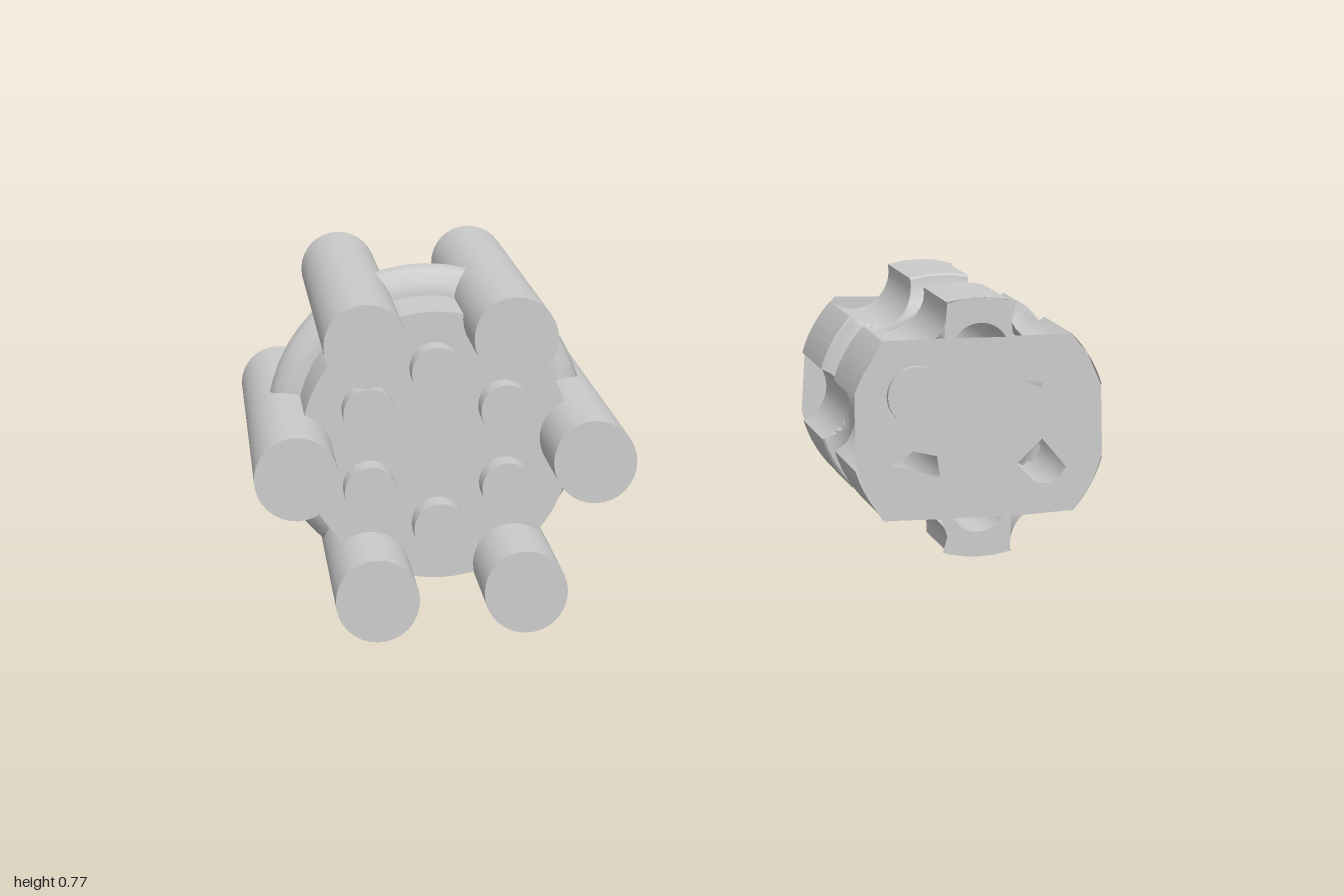
import * as THREE from 'three';
import { toCreasedNormals } from 'three/addons/utils/BufferGeometryUtils.js';

const grey = new THREE.MeshStandardMaterial({ color: 0xcccccc });
const greyBoth = new THREE.MeshStandardMaterial({ color: 0xcccccc, side: THREE.DoubleSide });

const HALF = 0.315, RADIUS = 0.31;            // drum half length and radius
const ROD_RING = 0.33, ROD_R = 0.093, TILT = 0.028;
const PIN_RING = 0.18, PIN_R = 0.06, HOLE_R = 0.07;
const RING_R = 0.305, RING_TUBE = 0.071;      // collar on one drum, groove in the other
const STEP = Math.PI / 3;

function add(parent, name, geometry, material = grey) {
  const mesh = new THREE.Mesh(geometry, material);
  mesh.name = name;
  parent.add(mesh);
  return mesh;
}

// Cylinder lying along z
function rod(radius, length, sides = 32) {
  return new THREE.CylinderGeometry(radius, radius, length, sides).rotateX(Math.PI / 2);
}

// Radius of the grooved surface at a given z
function grooveRadius(z) {
  return Math.abs(z) <= RING_TUBE
    ? RING_R - Math.sqrt(RING_TUBE ** 2 - z * z)
    : RADIUS;
}

// Skin of a closed 2D loop swept through the z rows; keep() may open cells
function sweep(loop, rows, pointAt, keep) {
  const pos = [], index = [], n = loop.length;
  for (const z of rows) for (const p of loop) pos.push(...pointAt(p, z));
  for (let j = 0; j < rows.length - 1; j++) {
    for (let i = 0; i < n; i++) {
      const k = (i + 1) % n;
      const mid = loop[i].clone().add(loop[k]).multiplyScalar(0.5);
      if (!keep(mid, (rows[j] + rows[j + 1]) / 2)) continue;
      const a = j * n + i, b = j * n + k, c = a + n, d = b + n;
      index.push(a, b, d, a, d, c);
    }
  }
  const g = new THREE.BufferGeometry();
  g.setAttribute('position', new THREE.Float32BufferAttribute(pos, 3));
  g.setIndex(index);
  return toCreasedNormals(g, 0.6);
}

// Drum with collar, six long rods and six pins
function rodCore() {
  const core = new THREE.Group();
  core.name = 'rodCore';
  add(core, 'coreDrum', rod(RADIUS, HALF * 2, 48));
  add(core, 'collar', new THREE.TorusGeometry(RING_R, RING_TUBE, 12, 48));
  for (let i = 0; i < 6; i++) {
    const a = TILT + i * STEP, b = (i + 0.5) * STEP;
    add(core, 'longRod', rod(ROD_R, 1.2))
      .position.set(Math.cos(a) * ROD_RING, Math.sin(a) * ROD_RING, 0);
    add(core, 'pin', rod(PIN_R, 0.79, 24))
      .position.set(Math.cos(b) * PIN_RING, Math.sin(b) * PIN_RING, 0);
  }
  return core;
}

// Outline of the drum with six scooped flutes
function flutedLoop() {
  const loop = [];
  const cosPhi = (ROD_RING ** 2 + RADIUS ** 2 - ROD_R ** 2) / (2 * ROD_RING * RADIUS);
  const phi = Math.acos(cosPhi);
  const aMax = Math.acos((ROD_RING - RADIUS * cosPhi) / ROD_R);
  const origin = new THREE.Vector2();
  for (let s = 0; s < 6; s++) {
    const turn = TILT + s * STEP;
    for (let i = 0; i < 12; i++) {
      const a = -aMax + (2 * aMax * i) / 12;
      loop.push(new THREE.Vector2(ROD_RING - ROD_R * Math.cos(a), ROD_R * Math.sin(a))
        .rotateAround(origin, turn));
    }
    for (let i = 0; i < 18; i++) {
      const t = turn + phi + ((STEP - 2 * phi) * i) / 18;
      loop.push(new THREE.Vector2(Math.cos(t) * RADIUS, Math.sin(t) * RADIUS));
    }
  }
  return loop;
}

// End plate that partly covers the flutes and holes
function endPlate() {
  const path = pts => pts.map(([x, y]) => new THREE.Vector2(x, y));
  const shape = new THREE.Shape(path([
    [-0.087, 0.215], [-0.082, 0.297], [-0.04, 0.308], [0, 0.31], [0.04, 0.308], [0.083, 0.297],
    [0.073, 0.25], [0.078, 0.217], [0.218, 0.22], [0.258, 0.172], [0.293, 0.095], [0.3, -0.07],
    [0.278, -0.137], [0.233, -0.205], [0.083, -0.215], [0.08, -0.298], [0.04, -0.308], [0, -0.31],
    [-0.04, -0.308], [-0.082, -0.298], [-0.072, -0.26], [-0.087, -0.217], [-0.227, -0.217],
    [-0.267, -0.157], [-0.295, -0.08], [-0.3, 0.09], [-0.277, 0.14], [-0.228, 0.212]]));
  for (const side of [1, -1]) {
    const arc = [];
    for (let i = 0; i <= 10; i++) {
      const a = Math.PI * (1 / 6 + (2 / 3) * (i / 10));
      arc.push([Math.cos(a) * HOLE_R, side * (PIN_RING + Math.sin(a) * HOLE_R)]);
    }
    shape.holes.push(new THREE.Path(path(arc)));
  }
  const openings = [
    [[-0.207, -0.085], [-0.157, -0.052], [-0.1, -0.065], [-0.092, -0.115]],
    [[0.093, -0.09], [0.153, -0.03], [0.213, -0.1], [0.183, -0.14], [0.14, -0.135]],
    [[0.093, 0.115], [0.15, 0.103], [0.15, 0.094], [0.1, 0.103]],
  ];
  for (const o of openings) shape.holes.push(new THREE.Path(path(o)));
  return new THREE.ShapeGeometry(shape);
}

// Matching drum with flutes, waist groove and lengthwise holes
function flutedSocket() {
  const socket = new THREE.Group();
  socket.name = 'flutedSocket';
  const half = [0.012, 0.024, 0.034, 0.044, 0.054, 0.063, 0.069, RING_TUBE, 0.076, HALF];
  const rows = [...half.map(z => -z).reverse(), 0, ...half];

  const centres = [];
  for (let i = 0; i < 6; i++) {
    const b = (i + 0.5) * STEP;
    centres.push(new THREE.Vector2(Math.cos(b) * PIN_RING, Math.sin(b) * PIN_RING));
  }
  const clamp = (p, z) => {
    const k = Math.min(1, grooveRadius(z) / p.length());
    return [p.x * k, p.y * k, z];
  };

  // Outer skin, opened where the holes break into the groove
  add(socket, 'flutedWall', sweep(flutedLoop(), rows, clamp, (p, z) => {
    const [x, y] = clamp(p, z);
    return centres.every(c => Math.hypot(x - c.x, y - c.y) > HOLE_R);
  }), greyBoth);

  // Hole linings
  for (const c of centres) {
    const loop = [];
    for (let i = 0; i < 32; i++) {
      const a = (i / 32) * Math.PI * 2;
      loop.push(new THREE.Vector2(c.x + Math.cos(a) * HOLE_R, c.y + Math.sin(a) * HOLE_R));
    }
    add(socket, 'holeLining', sweep(loop, rows, clamp,
      (p, z) => p.length() < grooveRadius(z)), greyBoth);
  }

  // Front and back plates
  const plate = endPlate();
  add(socket, 'frontPlate', plate, greyBoth).position.z = HALF;
  const back = add(socket, 'backPlate', plate, greyBoth);
  back.rotation.y = Math.PI;
  back.position.z = -HALF;

  // Raised round button
  add(socket, 'button', rod(HOLE_R, 0.03)).position.set(-0.153, 0.082, HALF);
  return socket;
}

export function createModel() {
  const model = new THREE.Group();
  model.name = 'rodCoreAndSocket';
  const core = rodCore();
  core.position.set(-0.577, 0.385, 0);
  const socket = flutedSocket();
  socket.position.set(0.697, 0.388, 0);
  model.add(core, socket);
  return model;
}
